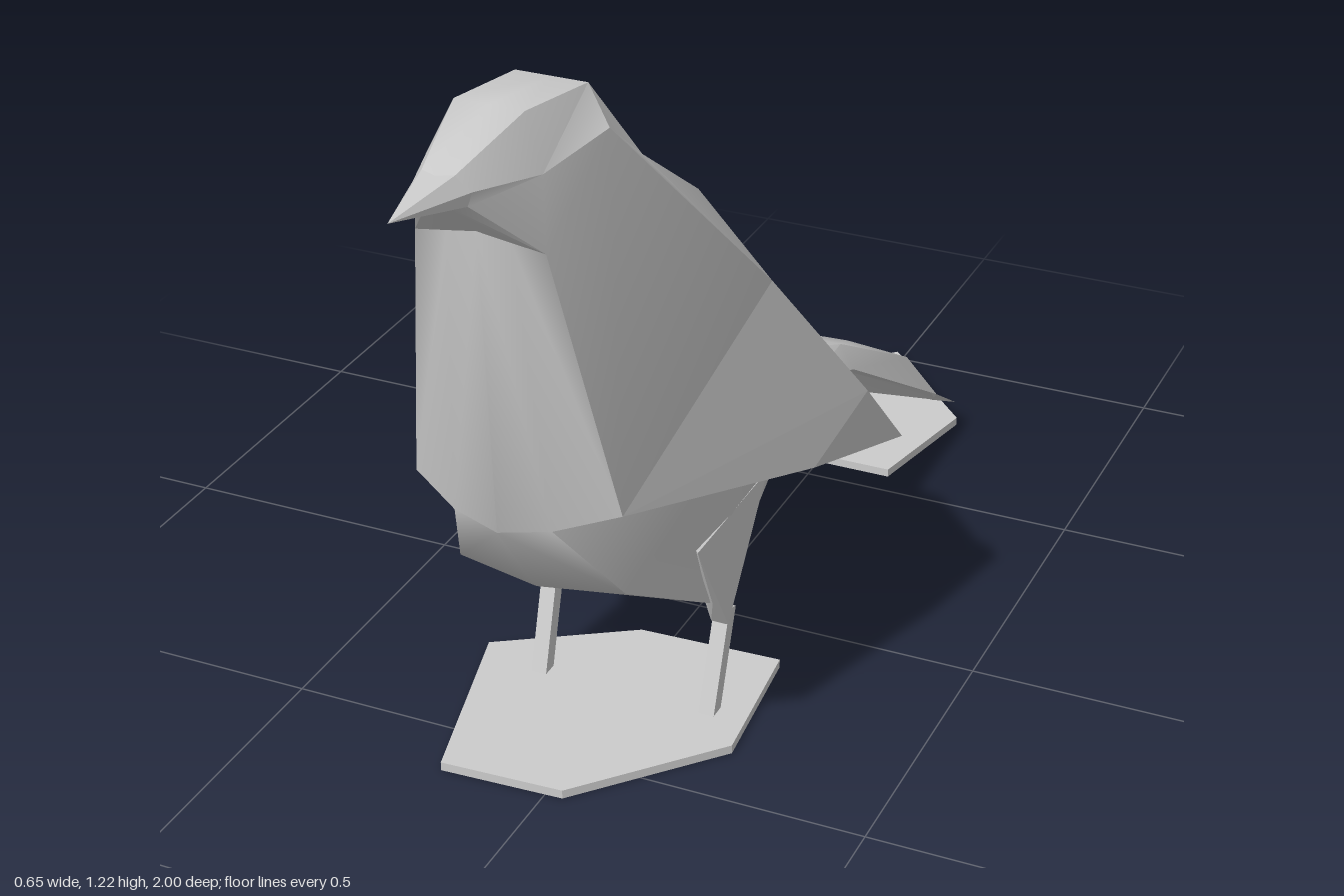
import * as THREE from 'three';
import { toCreasedNormals } from 'three/addons/utils/BufferGeometryUtils.js';
import { ConvexGeometry } from 'three/addons/geometries/ConvexGeometry.js';

const material = new THREE.MeshStandardMaterial({ color: 0xcccccc, side: THREE.DoubleSide });

function part(name, geometry) {
  const mesh = new THREE.Mesh(geometry, material);
  mesh.name = name;
  return mesh;
}

// Joins half cross-sections (top centre to bottom centre, front to back) and mirrors them in x
function loftMirrored(rings, crease = 0.6) {
  const pos = [];
  const tri = (a, b, c) => {
    const [p, q, r] = [a, b, c].map((v) => new THREE.Vector3(...v));
    if (q.sub(p).cross(r.sub(p)).length() < 1e-8) return;
    pos.push(...a, ...b, ...c);
    for (const [x, y, z] of [a, c, b]) pos.push(-x, y, z);
  };
  for (let i = 0; i < rings.length - 1; i++) {
    for (let j = 0; j < rings[i].length - 1; j++) {
      const a = rings[i][j], b = rings[i][j + 1];
      const c = rings[i + 1][j], d = rings[i + 1][j + 1];
      tri(a, b, c);
      tri(b, d, c);
    }
  }
  const g = new THREE.BufferGeometry();
  g.setAttribute('position', new THREE.Float32BufferAttribute(pos, 3));
  return toCreasedNormals(g, crease);
}

// Solid hull around a few corners, on either side of the body
function hull(points, side) {
  return new ConvexGeometry(points.map(([x, y, z]) => new THREE.Vector3(x * side, y, z)));
}

// Thin ground plate from an outline in x and z
function plate(outline) {
  const shape = new THREE.Shape(outline.map(([x, z]) => new THREE.Vector2(x, -z)));
  return new THREE.ExtrudeGeometry(shape, { depth: 0.015, bevelEnabled: false }).rotateX(-Math.PI / 2);
}

export function createModel() {
  const bird = new THREE.Group();
  bird.name = 'bird';

  // Beak
  const tip = [0, 1.165, 1];
  const beakBase = [
    [0, 1.18, 0.87], [0.025, 1.18, 0.86], [0.045, 1.155, 0.85],
    [0.04, 1.135, 0.855], [0.02, 1.13, 0.86], [0, 1.13, 0.86],
  ];
  bird.add(part('beak', loftMirrored([beakBase.map(() => tip), beakBase])));

  // Head, breast, belly and back
  bird.add(part('body', loftMirrored([
    beakBase,
    [[0, 1.22, 0.71], [0.055, 1.22, 0.71], [0.09, 1.14, 0.73], [0.102, 1.03, 0.75], [0.05, 1.04, 0.755], [0, 1.05, 0.76]],
    [[0, 1.19, 0.52], [0.058, 1.19, 0.52], [0.11, 1.145, 0.56], [0.17, 0.58, 0.66], [0.08, 0.56, 0.71], [0, 0.55, 0.73]],
    [[0, 1.05, 0.42], [0.09, 1.04, 0.41], [0.24, 0.8, 0.27], [0.185, 0.5, 0.42], [0.14, 0.4, 0.59], [0, 0.39, 0.61]],
    [[0, 0.97, 0.27], [0.1, 0.91, 0.23], [0.225, 0.72, 0.2], [0.17, 0.42, 0.22], [0.155, 0.225, 0.31], [0, 0.27, 0.36]],
    [[0, 0.72, 0.05], [0.09, 0.69, 0.04], [0.19, 0.55, 0.05], [0.165, 0.4, 0.08], [0.15, 0.26, 0.16], [0, 0.31, 0.12]],
    [[0, 0.42, -0.21], [0.08, 0.43, -0.2], [0.14, 0.41, -0.19], [0.13, 0.39, -0.17], [0.08, 0.38, -0.18], [0, 0.37, -0.18]],
  ])));

  // Tail, arched and closed underneath
  bird.add(part('tail', loftMirrored([
    [[0, 0.42, -0.18], [0.08, 0.43, -0.18], [0.14, 0.4, -0.18], [0, 0.37, -0.18]],
    [[0, 0.37, -0.34], [0.12, 0.375, -0.34], [0.147, 0.33, -0.34], [0, 0.33, -0.34]],
    [[0, 0.19, -0.69], [0.12, 0.18, -0.69], [0.185, 0.12, -0.68], [0, 0.15, -0.69]],
    [[0, 0.04, -0.8], [0.125, 0.02, -0.83], [0.192, 0.06, -0.77], [0, 0.03, -0.79]],
  ])));

  for (const side of [1, -1]) {
    const label = side > 0 ? 'left' : 'right';

    // Folded wing standing off the flank
    bird.add(part(label + 'Wing', hull([
      [0.24, 0.8, 0.27], [0.17, 0.58, 0.66], [0.295, 0.46, 0.22], [0.325, 0.53, 0.07],
      [0.325, 0.36, -0.1], [0.305, 0.35, -0.11], [0.165, 0.41, 0.12],
    ], side)));

    // Thigh narrowing to the shank
    bird.add(part(label + 'Thigh', hull([
      [0.165, 0.36, 0.38], [0.165, 0.36, 0.1], [0.08, 0.31, 0.25], [0.16, 0.225, 0.31],
      [0.155, 0.25, 0.17], [0.17, 0.165, 0.27], [0.14, 0.165, 0.27], [0.155, 0.165, 0.235],
    ], side)));

    // Square shank leaning forward to the ground
    const top = new THREE.Vector3(0.155 * side, 0.185, 0.248);
    const foot = new THREE.Vector3(0.152 * side, 0.01, 0.305);
    const along = top.clone().sub(foot);
    const shank = part(label + 'Shank', new THREE.CylinderGeometry(0.019, 0.019, along.length(), 4)
      .rotateY(Math.PI / 4).toNonIndexed());
    shank.geometry.computeVertexNormals();
    shank.position.copy(top).add(foot).multiplyScalar(0.5);
    shank.quaternion.setFromUnitVectors(new THREE.Vector3(0, 1, 0), along.normalize());
    bird.add(shank);
  }

  // Ground plates under the feet and tail
  bird.add(part('footPlate', plate([
    [-0.27, 0.27], [-0.05, 0.13], [0.2, 0.12], [0.225, 0.38], [0.03, 0.6], [-0.18, 0.61],
  ])));
  bird.add(part('tailPlate', plate([
    [-0.01, -1], [0.19, -0.79], [0.14, -0.55], [-0.15, -0.55], [-0.19, -0.8],
  ])));

  return bird;
}
